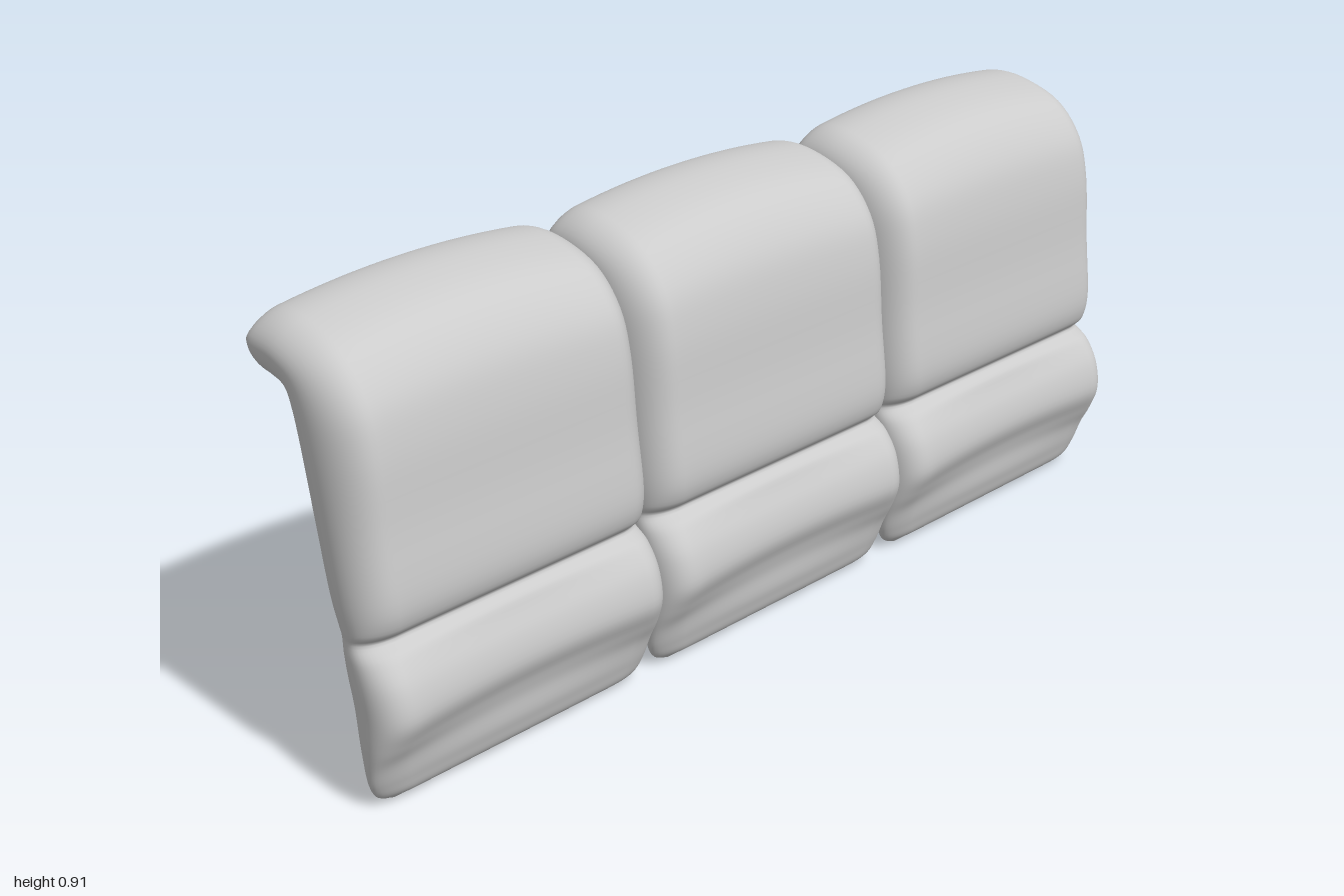
import * as THREE from 'three';

// Stations from the bottom hem, up the front and over the rolled top:
// half width | side seam z,y | front face z,y | back face z,y
const STATIONS = [
  [.27, .09, .003, .09, .003, .09, .003],
  [.305, .092, .02, .115, .025, .07, .02],
  [.322, .098, .05, .128, .06, .066, .05],
  [.329, .108, .09, .145, .11, .058, .09],
  [.333, .118, .14, .172, .155, .05, .15],
  [.333, .122, .2, .194, .21, .039, .21],
  [.333, .112, .26, .182, .275, .027, .26],
  [.33, .092, .305, .15, .32, .018, .305],
  [.324, .07, .335, .115, .342, .013, .335],
  [.328, .077, .36, .137, .37, .007, .36],
  [.333, .068, .42, .146, .43, -.005, .42],
  [.333, .048, .54, .133, .56, -.03, .54],
  [.333, .026, .67, .122, .7, -.055, .67],
  [.332, .006, .75, .095, .8, -.072, .735],
  [.33, -.03, .805, .03, .875, -.085, .765],
  [.328, -.09, .828, -.07, .907, -.115, .77],
  [.324, -.15, .83, -.145, .905, -.15, .772],
  [.315, -.178, .83, -.18, .88, -.177, .785],
  [.295, -.19, .83, -.19, .83, -.19, .83],
];
const ROWS = 90;    // steps along the profile
const EDGE = 9;     // steps round each soft edge
const FLAT = 16;    // steps across each face

const { smoothstep, lerp } = THREE.MathUtils;

function track(k) {
  const pts = STATIONS.map(s => new THREE.Vector3(s[0], s[k + 1], s[k]));
  return new THREE.CatmullRomCurve3(pts, false, 'catmullrom', 0.5);
}

// One face of a cross-section, from the +x seam to the -x seam:
// [distance across, depth away from the seam]
function facePath(halfWidth, radius) {
  const half = [];
  for (let i = 0; i <= EDGE; i++) {
    const a = (i / EDGE) * Math.PI / 2;
    half.push([halfWidth - radius * (1 - Math.cos(a)), Math.sin(a)]);
  }
  const inner = halfWidth - radius;
  const middle = [];
  for (let i = 1; i < FLAT; i++) middle.push([lerp(inner, -inner, i / FLAT), 1]);
  const other = half.map(([x, d]) => [-x, d]).reverse();
  return [...half, ...middle, ...other];
}

function cushionGeometry() {
  const seam = track(1), front = track(3), back = track(5);
  const positions = [], index = [];
  let ring = 0;
  for (let i = 0; i <= ROWS; i++) {
    const t = i / ROWS;
    const s = seam.getPoint(t), f = front.getPoint(t), b = back.getPoint(t);
    const hw = s.x;
    const endFade = 1 - smoothstep(t, 0.95, 1);
    const crown = smoothstep(t, 0.62, 0.8) * endFade;
    const lumbar = smoothstep(t, 0.12, 0.24) * (1 - smoothstep(t, 0.34, 0.44));
    const start = positions.length;

    // Front face: domed along the top, slightly hollow at the lumbar roll
    for (const [x, d] of facePath(hw, 0.065)) {
      const u2 = (x / hw) ** 2;
      positions.push(x,
        lerp(s.y, f.y, d) - 0.028 * crown * u2 * d,
        lerp(s.z, f.z, d) - 0.026 * lumbar * (1 - u2) * d);
    }
    // Back face, returning to the first seam without repeating its ends
    for (const [x, d] of facePath(hw, 0.045).reverse().slice(1, -1)) {
      const u2 = (x / hw) ** 2;
      positions.push(x,
        lerp(s.y, b.y, d) + 0.015 * crown * (1 - u2) * d,
        lerp(s.z, b.z, d));
    }
    ring = (positions.length - start) / 3;
  }
  for (let i = 0; i < ROWS; i++) {
    for (let j = 0; j < ring; j++) {
      const k = (j + 1) % ring;
      const a = i * ring + j, b = i * ring + k;
      const c = a + ring, d = b + ring;
      index.push(a, c, b, b, c, d);
    }
  }
  const geo = new THREE.BufferGeometry();
  geo.setAttribute('position', new THREE.Float32BufferAttribute(positions, 3));
  geo.setIndex(index);
  geo.computeVertexNormals();
  return geo;
}

export function createModel() {
  const group = new THREE.Group();
  group.name = 'backCushions';
  const material = new THREE.MeshStandardMaterial({ color: 0xcccccc });
  const geometry = cushionGeometry();

  // Three identical cushions side by side
  ['rightCushion', 'middleCushion', 'leftCushion'].forEach((name, i) => {
    const cushion = new THREE.Mesh(geometry, material);
    cushion.name = name;
    cushion.position.x = (i - 1) * 0.667;
    group.add(cushion);
  });
  return group;
}
